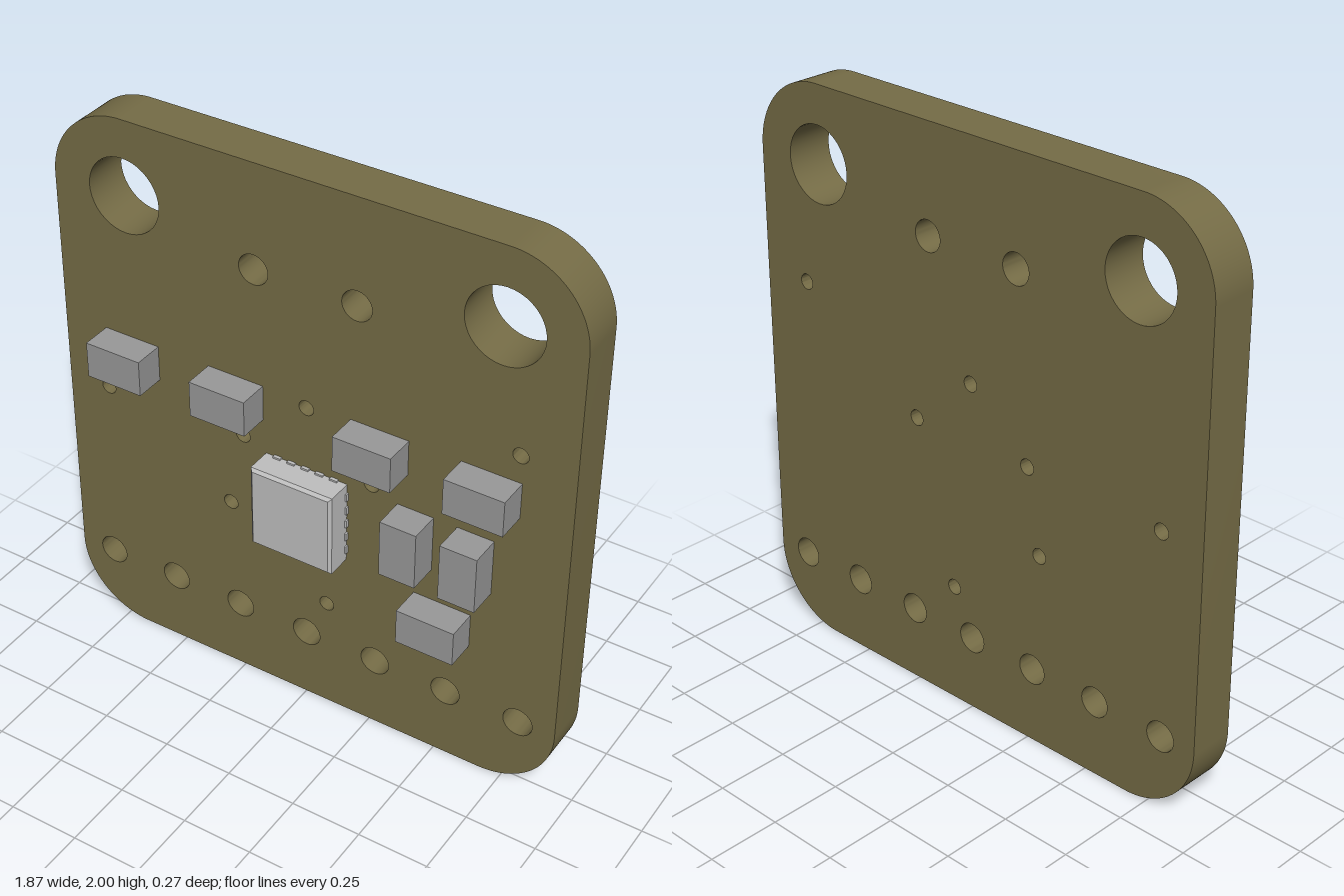
import * as THREE from 'three';
import { toCreasedNormals } from 'three/addons/utils/BufferGeometryUtils.js';

const FRONT = 0.03, BACK = -0.134;

export function createModel() {
  const model = new THREE.Group();
  model.name = 'circuitBoard';
  const olive = new THREE.MeshStandardMaterial({ name: 'olive board', color: 0x756c46 });
  const grey = new THREE.MeshStandardMaterial({ name: 'component grey', color: 0x989898 });
  const silver = new THREE.MeshStandardMaterial({ name: 'chip silver', color: 0xbebebe });

  const add = (parent, name, geometry, material, x = 0, y = 0, z = 0) => {
    const mesh = new THREE.Mesh(geometry, material);
    mesh.name = name;
    mesh.position.set(x, y, z);
    parent.add(mesh);
    return mesh;
  };

  // Rounded board outline
  const w = 0.933, h = 2, r = 0.266;
  const outline = new THREE.Shape();
  outline.absarc(w - r, r, r, -Math.PI / 2, 0);
  outline.absarc(w - r, h - r, r, 0, Math.PI / 2);
  outline.absarc(-w + r, h - r, r, Math.PI / 2, Math.PI);
  outline.absarc(-w + r, r, r, Math.PI, Math.PI * 1.5);
  outline.closePath();

  // Mounting holes, pin holes and vias
  const drill = (x, y, radius) => {
    const hole = new THREE.Path();
    hole.absarc(x, y, radius, 0, Math.PI * 2, true);
    outline.holes.push(hole);
  };
  for (const x of [-0.667, 0.667]) drill(x, 1.734, 0.132);
  for (const x of [-0.19, 0.178]) drill(x, 1.63, 0.053);
  for (let i = -3; i <= 3; i++) drill(i * 0.2667, 0.267, 0.053);
  const vias = [[0.745, 1.31], [0, 1.19], [-0.775, 0.976], [-0.24, 0.99],
    [0.24, 0.99], [-0.294, 0.696], [0.079, 0.429]];
  for (const [x, y] of vias) drill(x, y, 0.027);

  const board = new THREE.ExtrudeGeometry(outline,
    { depth: FRONT - BACK, bevelEnabled: false, curveSegments: 20 });
  add(model, 'board', toCreasedNormals(board, 0.6), olive, 0, 0, BACK);

  // Small surface-mounted blocks: x, y, upright or not
  const blocks = [[-0.667, 1.147, false], [-0.265, 1.147, false], [0.265, 1.147, false],
    [0.653, 1.147, false], [0.4, 0.853, true], [0.612, 0.853, true], [0.507, 0.565, false]];
  const depth = 0.107;
  const block = new THREE.BoxGeometry(0.207, 0.129, depth);
  for (const [x, y, upright] of blocks) {
    const mesh = add(model, 'component', block, grey, x, y, FRONT + depth / 2);
    if (upright) mesh.rotation.z = Math.PI / 2;
  }

  // Square chip with a chamfered front rim
  const chip = new THREE.Group();
  chip.name = 'chip';
  chip.position.set(0, 0.803, FRONT);
  model.add(chip);
  const size = 0.304, bodyDepth = 0.088, rim = 0.01;
  add(chip, 'chipBody', new THREE.BoxGeometry(size, size, bodyDepth), silver, 0, 0, bodyDepth / 2);
  let cap = new THREE.BoxGeometry(size, size, rim);
  const p = cap.attributes.position;
  const scale = 1 - 2 * rim / size;
  for (let i = 0; i < p.count; i++) {
    if (p.getZ(i) > 0) p.setXY(i, p.getX(i) * scale, p.getY(i) * scale);
  }
  cap = cap.toNonIndexed();
  cap.computeVertexNormals();
  add(chip, 'chipCap', cap, silver, 0, 0, bodyDepth + rim / 2);

  // Five contact pads along each side of the chip
  const pad = new THREE.BoxGeometry(0.028, 0.012, 0.012);
  for (let side = 0; side < 4; side++) {
    const row = new THREE.Group();
    row.name = 'padRow';
    row.rotation.z = side * Math.PI / 2;
    chip.add(row);
    for (let i = -2; i <= 2; i++) add(row, 'pad', pad, silver, i * 0.053, size / 2, 0.006);
  }
  return model;
}
